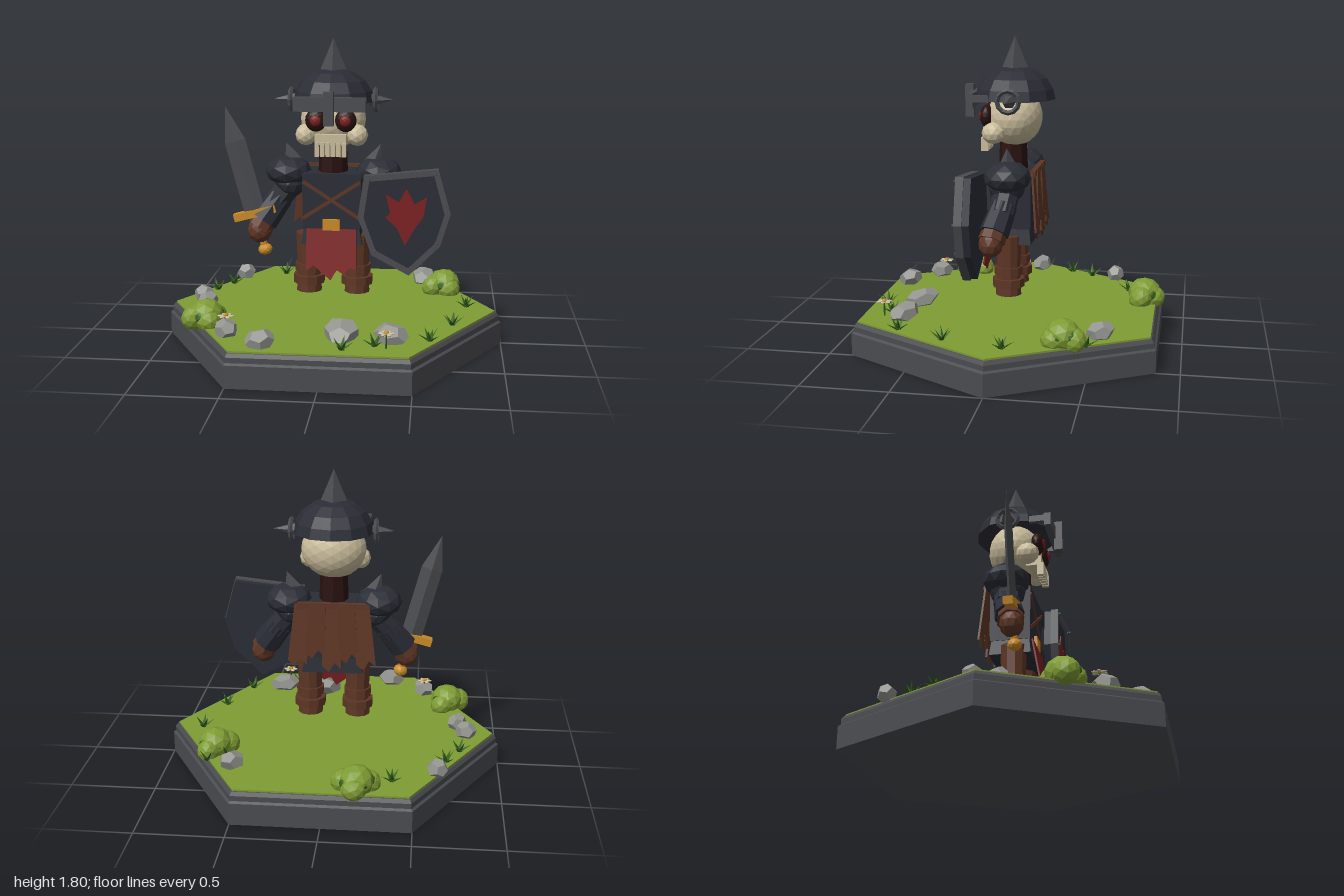
import * as THREE from 'three';

const mat = (name, color) => {
  const m = new THREE.MeshStandardMaterial({ color });
  m.name = name;
  return m;
};
const M = {
  leaf: mat('grassGreen', 0x7f9c34), fern: mat('darkGreen', 0x35601c), rock: mat('rockGrey', 0x93938f),
  steel: mat('steelGrey', 0x4b4c50), navy: mat('darkArmour', 0x2b2d36), brown: mat('leatherBrown', 0x5e3625),
  red: mat('clothRed', 0x7d1f20), bone: mat('bone', 0xcabd9c), gold: mat('gold', 0xc98b28), dark: mat('darkMaroon', 0x2a1210),
};

// Faceted normals
function flat(geo) {
  const g = geo.index ? geo.toNonIndexed() : geo;
  g.computeVertexNormals();
  return g;
}
function add(parent, name, geo, material, pos = [0, 0, 0], rot = [0, 0, 0], scale = [1, 1, 1]) {
  const m = new THREE.Mesh(flat(geo), material);
  m.name = name;
  m.position.set(...pos);
  m.rotation.set(...rot);
  m.scale.set(...scale);
  parent.add(m);
  return m;
}
const box = (w, h, d) => new THREE.BoxGeometry(w, h, d);
const cyl = (rt, rb, h, n = 8) => new THREE.CylinderGeometry(rt, rb, h, n);
const ball = (d = 1) => new THREE.IcosahedronGeometry(1, d);
const shapeOf = pts => new THREE.Shape(pts.map(p => new THREE.Vector2(...p)));
const plate = (shape, depth) => new THREE.ExtrudeGeometry(shape, { depth, bevelEnabled: false });
// Four-sided tapered block
const block = (wt, wb, h) => cyl(wt * Math.SQRT2, wb * Math.SQRT2, h, 4).rotateY(Math.PI / 4);

// Tapered limb between two points
function limb(parent, name, a, b, ra, rb, material) {
  const A = new THREE.Vector3(...a), B = new THREE.Vector3(...b), d = B.clone().sub(A);
  const m = add(parent, name, cyl(rb, ra, d.length()), material, A.add(B).multiplyScalar(0.5).toArray());
  m.quaternion.setFromUnitVectors(new THREE.Vector3(0, 1, 0), d.normalize());
}
function group(parent, name, x = 0, y = 0, z = 0) {
  const g = new THREE.Group();
  g.name = name;
  g.position.set(x, y, z);
  parent.add(g);
  return g;
}

function buildBase(root) {
  const g = group(root, 'base');
  const layers = [[1, 1, 0, 0.13], [0.985, 1, 0.13, 0.14], [0.985, 0.985, 0.14, 0.17], [0.97, 0.985, 0.17, 0.19]];
  for (const [rt, rb, y0, y1] of layers)
    add(g, 'stoneTier', cyl(rt, rb, y1 - y0, 6).rotateY(Math.PI / 6), M.steel, [0, (y0 + y1) / 2, 0]);
  add(g, 'grass', cyl(0.962, 0.962, 0.02, 6).rotateY(Math.PI / 6), M.leaf, [0, 0.19, 0]);
}

function buildScenery(root) {
  const g = group(root, 'scenery');
  // Bushes made of overlapping lobes
  for (const [x, z, turn] of [[-0.19, -0.765, 0], [0.66, -0.37, 2.4], [-0.69, 0.385, 2.5]]) {
    const b = group(g, 'bush', x, 0.2, z);
    b.rotation.y = -turn;
    const lobes = [[0, 0.05, 0, 0.1], [0.07, 0.035, 0.02, 0.075], [-0.065, 0.03, 0.03, 0.07], [0.01, 0.03, -0.05, 0.075]];
    lobes.forEach(([lx, ly, lz, r], i) =>
      add(b, 'bushLobe', ball(), M.leaf, [lx, ly, lz], [i, i * 2, 0], [r, r * 0.92, r]));
    for (let i = 0; i < 5; i++) {
      const a = i * 1.257 + 0.5;
      add(b, 'bushShadeLobe', ball(), M.fern, [Math.cos(a) * 0.065, 0.05, Math.sin(a) * 0.05], [i, a, 0], [0.045, 0.045, 0.045]);
    }
  }
  // Rocks
  const rocks = [[-0.63, -0.555, 0.062], [0.53, -0.56, 0.085], [-0.8, -0.05, 0.067], [-0.75, 0.065, 0.062],
    [-0.54, 0.58, 0.075], [-0.325, 0.735, 0.085], [0.1, 0.555, 0.115], [0.375, 0.585, 0.1]];
  rocks.forEach(([x, z, r], i) =>
    add(g, 'rock', new THREE.DodecahedronGeometry(1, 0), M.rock, [x, 0.235, z], [0.2, i * 1.3, 0.1], [r, 0.058, r * 0.88]));
  // Leafy tufts
  const tufts = [[-0.38, -0.66], [0.685, -0.5], [0.59, -0.42], [0.795, -0.06], [0.71, 0.285], [0.585, 0.565],
    [0.12, 0.755], [0.29, 0.68], [-0.68, -0.4], [-0.76, -0.26]];
  tufts.forEach(([x, z], k) => {
    const t = group(g, 'tuft', x, 0.2, z);
    for (let i = 0; i < 6; i++) {
      const stem = group(t, 'leafBlade');
      stem.rotation.y = i * 1.047 + k;
      const lean = i % 2 ? 0.55 : 1.0;
      add(stem, 'blade', new THREE.ConeGeometry(0.018, 0.085, 4).translate(0, 0.04, 0), M.fern, [0, 0, 0], [lean, 0, 0], [1, 1, 0.4]);
    }
  });
  // Flowers
  for (const [x, y, z] of [[0.355, 0.285, 0.71], [-0.545, 0.3, 0.55]]) {
    const f = group(g, 'flower', x, y, z);
    add(f, 'stem', cyl(0.005, 0.005, 0.09, 4), M.fern, [0, -0.045, 0]);
    add(f, 'flowerCentre', ball(), M.gold, [0, 0.006, 0], [0, 0, 0], [0.015, 0.01, 0.015]);
    for (let i = 0; i < 6; i++) {
      const a = i * Math.PI / 3;
      add(f, 'petal', ball(), M.bone, [Math.cos(a) * 0.028, 0, Math.sin(a) * 0.028], [0, -a, 0], [0.019, 0.006, 0.012]);
    }
  }
}

function buildHead(root) {
  const g = group(root, 'head');
  add(g, 'neck', cyl(0.08, 0.088, 0.2), M.dark, [0, 1.09, 0.01]);
  add(g, 'skull', ball(3), M.bone, [0, 1.335, 0], [0, 0, 0], [0.19, 0.17, 0.16]);
  add(g, 'upperJaw', box(0.18, 0.06, 0.09), M.bone, [0, 1.235, 0.125]);
  for (let i = 0; i < 6; i++) add(g, 'tooth', box(0.025, 0.08, 0.04), M.bone, [(i - 2.5) * 0.031, 1.18, 0.165]);
  // Helmet dome with a closed underside
  const dome = [[0, 1.5], [0.2, 1.45], [0.237, 1.44], [0.222, 1.5], [0.185, 1.56], [0.12, 1.605], [0, 1.635]];
  add(g, 'helmet', new THREE.LatheGeometry(dome.map(p => new THREE.Vector2(...p)), 12), M.navy);
  add(g, 'helmetSpike', new THREE.ConeGeometry(0.075, 0.18, 4), M.steel, [0, 1.71, 0]);
  add(g, 'visorBar', box(0.41, 0.08, 0.04), M.steel, [0, 1.445, 0.23]);
  add(g, 'noseGuard', box(0.055, 0.19, 0.05), M.steel, [0, 1.425, 0.265]);
  for (const s of [-1, 1]) {
    add(g, 'cheek', ball(), M.bone, [s * 0.148, 1.255, 0.1], [0, 0, 0], [0.062, 0.064, 0.07]);
    add(g, 'eyeSocket', ball(2), M.dark, [s * 0.085, 1.345, 0.15], [0, 0, 0], [0.062, 0.066, 0.04]);
    add(g, 'eye', ball(), M.red, [s * 0.085, 1.345, 0.18], [0, 0, 0], [0.033, 0.033, 0.018]);
    add(g, 'helmetRing', new THREE.TorusGeometry(0.062, 0.014, 4, 12), M.steel, [s * 0.245, 1.447, 0], [0, Math.PI / 2, 0]);
    add(g, 'helmetHorn', new THREE.ConeGeometry(0.043, 0.14, 6), M.steel, [s * 0.28, 1.447, 0], [0, 0, -s * Math.PI / 2]);
    add(g, 'visorHinge', box(0.025, 0.04, 0.1), M.steel, [s * 0.19, 1.455, 0.17]);
  }
}

function buildBody(root) {
  const g = group(root, 'body');
  add(g, 'chest', block(1, 0.97, 0.33), M.navy, [0, 0.865, 0], [0, 0, 0], [0.172, 1, 0.12]);
  add(g, 'skirt', block(0.95, 1.05, 0.1), M.navy, [0, 0.66, 0], [0, 0, 0], [0.17, 1, 0.115]);
  for (const s of [-1, 1]) add(g, 'chestStrap', box(0.395, 0.02, 0.012), M.brown, [0, 0.875, 0.12], [0, 0, s * 0.58]);
  add(g, 'buckle', box(0.1, 0.065, 0.03), M.gold, [0, 0.73, 0.12]);
  // Ragged cloth at the waist
  const rag = [[-0.145, 0], [-0.145, -0.25], [-0.1, -0.215], [-0.055, -0.255], [0, -0.3], [0.035, -0.24],
    [0.075, -0.265], [0.11, -0.225], [0.15, -0.235], [0.145, 0]];
  add(g, 'tabard', plate(shapeOf(rag), 0.01), M.red, [0, 0.705, 0.118], [-0.17, 0, 0]);
  // Tattered cape strips
  for (let i = -2; i <= 2; i++) {
    const len = [0.37, 0.33, 0.385, 0.31, 0.36][i + 2];
    const strip = [[-0.05, 0], [-0.058, -len], [-0.02, -len + 0.04], [0.015, -len - 0.015], [0.055, -len + 0.02], [0.05, 0]];
    add(g, 'capeStrip', plate(shapeOf(strip), 0.012), M.brown,
      [i * 0.083, 1.035, -0.14 - Math.abs(i % 2) * 0.014], [i % 2 ? 0.03 : 0.08, 0, i * 0.05]);
  }
  add(g, 'capeCollar', box(0.4, 0.035, 0.03), M.brown, [0, 1.03, -0.135]);
  for (const s of [-1, 1]) {
    // Arm, glove and shoulder armour
    add(g, 'pauldron', ball(), M.navy, [s * 0.265, 1.025, 0], [0, 0, 0], [0.137, 0.092, 0.138]);
    add(g, 'lowerPauldron', ball(), M.navy, [s * 0.255, 0.955, 0.005], [0, 0, s * 0.5], [0.095, 0.08, 0.105]);
    add(g, 'shoulderSpike', new THREE.ConeGeometry(0.06, 0.13, 4), M.steel, [s * 0.255, 1.13, 0], [0, 0, -s * 0.35]);
    limb(g, 'upperArm', [s * 0.24, 0.96, 0], [s * 0.35, 0.82, 0.02], 0.075, 0.075, M.navy);
    limb(g, 'foreArm', [s * 0.31, 0.87, 0.01], [s * 0.41, 0.73, 0.05], 0.075, 0.085, M.navy);
    limb(g, 'gloveCuff', [s * 0.39, 0.755, 0.045], [s * 0.43, 0.69, 0.06], 0.07, 0.078, M.brown);
    add(g, 'glove', ball(), M.brown, [s * 0.43, 0.675, 0.065], [0, 0, 0], [0.075, 0.08, 0.07]);
    // Leg with boot cuffs
    const legs = [['thigh', 0.077, 0.07, 0.44, 0.66], ['kneeBand', 0.083, 0.083, 0.425, 0.475],
      ['shin', 0.07, 0.07, 0.34, 0.44], ['bootCuff', 0.094, 0.094, 0.355, 0.405], ['boot', 0.072, 0.076, 0.305, 0.36]];
    for (const [name, rt, rb, y0, y1] of legs) add(g, name, cyl(rt, rb, y1 - y0, 10), M.brown, [s * 0.143, (y0 + y1) / 2, 0.015]);
  }
}

function buildSword(root) {
  const g = group(root, 'sword', -0.455, 0.78, 0.075);
  g.rotation.z = 0.26;
  add(g, 'blade', cyl(0.062, 0.062, 0.44, 4), M.steel, [0, 0.22, 0], [0, 0, 0], [1, 1, 0.38]);
  add(g, 'bladeTip', new THREE.ConeGeometry(0.062, 0.21, 4), M.steel, [0, 0.545, 0], [0, 0, 0], [1, 1, 0.38]);
  add(g, 'guard', box(0.255, 0.045, 0.055), M.gold);
  add(g, 'grip', cyl(0.022, 0.022, 0.2), M.gold, [0, -0.11, 0]);
  add(g, 'pommel', ball(), M.gold, [0, -0.225, 0], [0, 0, 0], [0.043, 0.036, 0.04]);
}

function buildShield(root) {
  const g = group(root, 'shield', 0.425, 0.8, 0);
  const rim = [[-0.23, 0.24], [0.19, 0.285], [0.262, 0.03], [0.205, -0.16], [0.03, -0.335], [-0.185, -0.22], [-0.265, 0]];
  const inset = k => rim.map(([x, y]) => [x * k, y * k]);
  add(g, 'shieldBack', plate(shapeOf(inset(0.97)), 0.055), M.navy, [0, 0, 0.135]);
  const frame = shapeOf(rim);
  frame.holes.push(shapeOf(inset(0.87)));
  add(g, 'shieldRim', plate(frame, 0.045), M.steel, [0, 0, 0.175]);
  const crest = [[0.011, 0.168], [0.059, 0.077], [0.128, 0.12], [0.107, 0], [0.064, -0.057], [0.005, -0.164],
    [-0.043, -0.062], [-0.107, -0.003], [-0.08, 0.023], [-0.107, 0.13], [-0.032, 0.088]];
  add(g, 'shieldEmblem', plate(shapeOf(crest), 0.009), M.red, [0, 0, 0.188]);
  for (const [x, y] of inset(0.9)) add(g, 'rivet', cyl(0.009, 0.011, 0.02, 6), M.steel, [x, y, 0.222], [Math.PI / 2, 0, 0]);
}

export function createModel() {
  const root = new THREE.Group();
  root.name = 'skeletonWarrior';
  for (const build of [buildBase, buildScenery, buildHead, buildBody, buildSword, buildShield]) build(root);
  return root;
}
